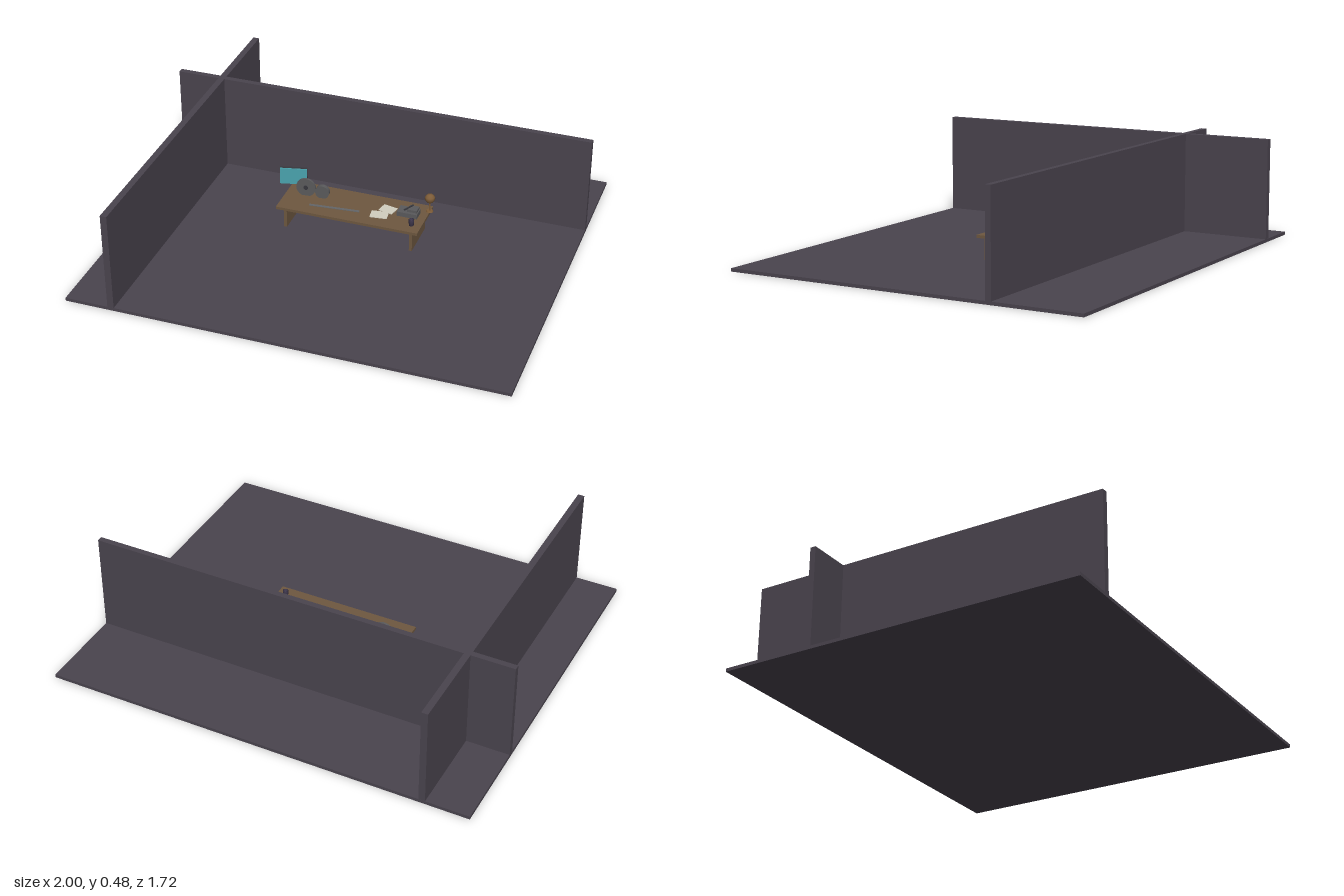
import * as THREE from 'three';

const mat = (name, color, side = THREE.FrontSide) => {
  const m = new THREE.MeshStandardMaterial({ color, side });
  m.name = name;
  return m;
};

export function createModel() {
  const stone = mat('dusky stone', 0x4a444e);
  const wood = mat('wood', 0x6e5840);
  const metal = mat('grey metal', 0x5a5a5c);
  const dark = mat('dark metal', 0x38383e);
  const teal = mat('teal screen', 0x4aa3ad);
  const paper = mat('paper', 0xd2cebf);
  const bronze = mat('bronze', 0x7d5c38, THREE.DoubleSide);
  const plum = mat('plum', 0x413a50, THREE.DoubleSide);
  const slate = mat('slate', 0x646668);

  const model = new THREE.Group();
  const add = (name, geometry, material, x, y, z, parent = model) => {
    const mesh = new THREE.Mesh(geometry, material);
    mesh.name = name;
    mesh.position.set(x, y, z);
    parent.add(mesh);
    return mesh;
  };
  const box = (name, w, h, d, material, x, y, z, parent) =>
    add(name, new THREE.BoxGeometry(w, h, d), material, x, y, z, parent);
  const group = (name, x, y, z, turn = 0) => {
    const g = new THREE.Group();
    g.name = name;
    g.position.set(x, y, z);
    g.rotation.y = turn;
    model.add(g);
    return g;
  };

  // Floor slab and the two crossing walls, extruded from one cross-shaped plan
  box('floor', 2, 0.015, 1.715, stone, 0, 0.0075, 0);
  const x0 = -0.8, x1 = -0.77, z0 = -0.442, z1 = -0.415, Z = 0.857;
  const plan = new THREE.Shape([
    [x0, -Z], [x0, -z1], [-1, -z1], [-1, -z0], [x0, -z0], [x0, Z],
    [x1, Z], [x1, -z0], [1, -z0], [1, -z1], [x1, -z1], [x1, -Z],
  ].map(([x, y]) => new THREE.Vector2(x, y)));
  const walls = add('walls', new THREE.ExtrudeGeometry(plan, { depth: 0.465, bevelEnabled: false }), stone, 0, 0.015, 0);
  walls.rotation.x = -Math.PI / 2;

  // Workbench: top on two solid end panels
  const top = 0.13;
  box('benchTop', 0.675, 0.013, 0.241, wood, -0.003, top - 0.0065, -0.085);
  for (const x of [-0.304, 0.297]) box('benchLeg', 0.014, 0.103, 0.2, wood, x, 0.0665, -0.088);

  // Turned screen with a dark back
  const screen = group('screen', -0.33, 0.18, -0.168, 0.235);
  box('screenBack', 0.128, 0.083, 0.012, dark, 0, 0, -0.003, screen);
  box('screenFace', 0.126, 0.081, 0.006, teal, 0, 0, 0.006, screen);

  // Pair of upright discs with hubs
  const discs = group('discs', -0.21, top, -0.107, 0.08);
  const disc = (name, r, depth, x, y, material, z = 0) => {
    const d = add(name, new THREE.CylinderGeometry(r, r, depth, 24), material, x, y, z, discs);
    d.rotation.x = Math.PI / 2;
  };
  disc('largeDisc', 0.046, 0.01, -0.035, 0.042, metal);
  disc('largeHub', 0.011, 0.014, -0.035, 0.042, dark);
  disc('smallDisc', 0.033, 0.02, 0.043, 0.03, metal);

  // Flat rule lying on the bench
  box('rule', 0.235, 0.002, 0.014, slate, -0.085, top + 0.001, -0.04).rotation.y = 0.09;

  // Loose sheets
  box('sheet', 0.07, 0.003, 0.055, paper, 0.15, top + 0.0015, -0.11).rotation.y = -0.2;
  box('sheet', 0.08, 0.003, 0.055, paper, 0.127, top + 0.003, -0.052).rotation.y = 0.12;

  // Stepped desk device with a sloping handle
  const device = group('device', 0.25, top, -0.104);
  box('deviceBody', 0.095, 0.022, 0.058, metal, 0, 0.011, 0, device);
  box('deviceCap', 0.045, 0.012, 0.042, metal, 0.02, 0.028, -0.006, device);
  box('deviceHandle', 0.006, 0.005, 0.06, dark, 0, 0.0365, 0, device).rotation.y = -0.45;

  // Open cup
  const cup = [[0, 0], [0.011, 0], [0.013, 0.03], [0.011, 0.03], [0.009, 0.004], [0, 0.004]]
    .map(([r, y]) => new THREE.Vector2(r, y));
  add('cup', new THREE.LatheGeometry(cup, 16), plum, 0.289, top, -0.022);

  // Small domed lamp standing on the bench corner
  const lamp = group('lamp', 0.332, top, -0.16);
  add('lampBase', new THREE.CylinderGeometry(0.014, 0.017, 0.006, 16), bronze, 0, 0.003, 0, lamp);
  add('lampStem', new THREE.CylinderGeometry(0.004, 0.004, 0.064, 10), bronze, 0, 0.036, 0, lamp);
  const shade = [[0.015, 0.052], [0.024, 0.066], [0.022, 0.078], [0.013, 0.088], [0, 0.091]]
    .map(([r, y]) => new THREE.Vector2(r, y));
  add('lampShade', new THREE.LatheGeometry(shade, 16), bronze, 0, 0, 0, lamp);

  return model;
}
